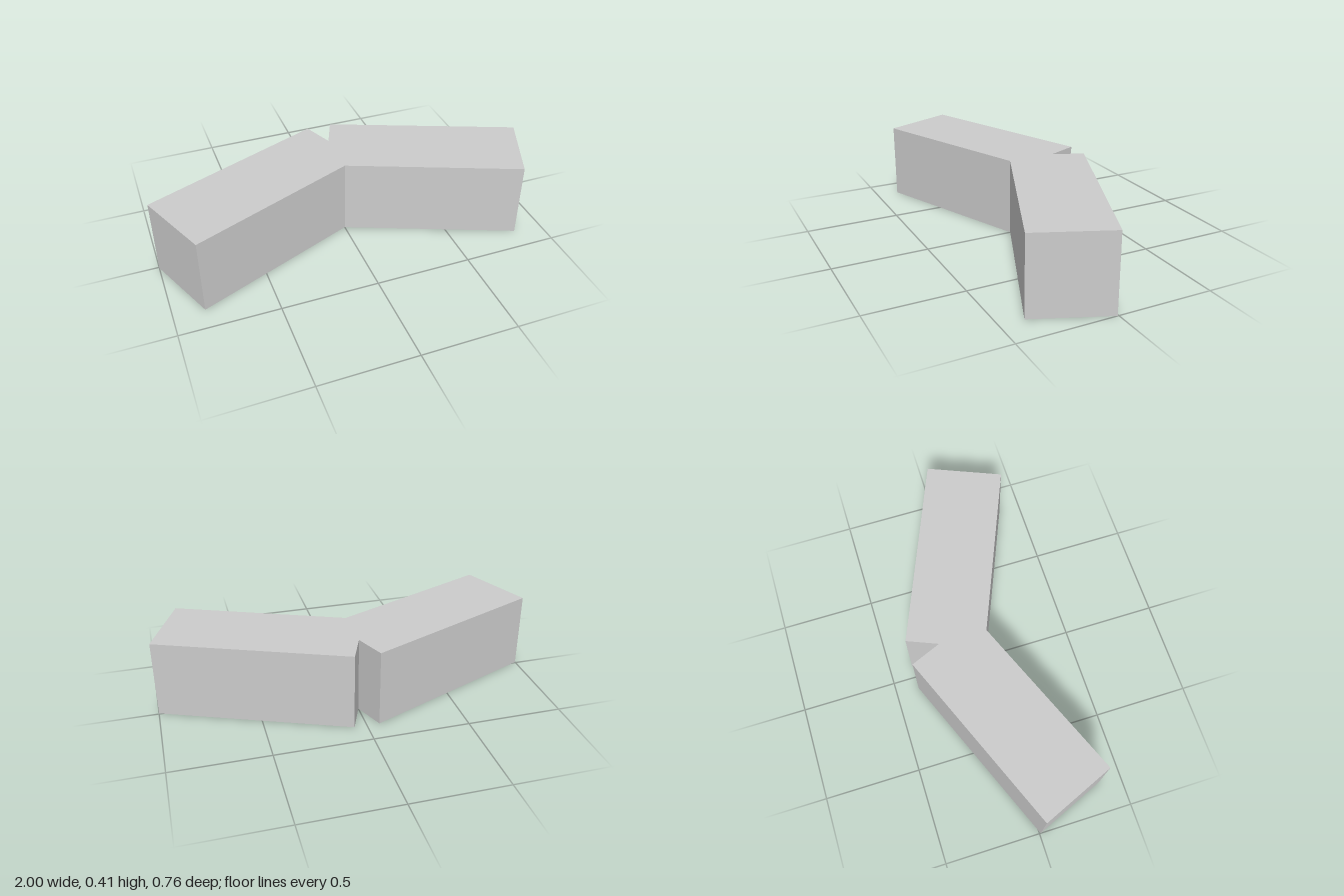
import * as THREE from 'three';

// Right half of the plan outline as [x, z], from the front bend to the rear notch
const HALF = [[0, 0.028], [0.845, 0.379], [1, 0.006], [0.065, -0.379], [0, -0.222]];
const HEIGHT = 0.405;

export function createModel() {
  const group = new THREE.Group();
  group.name = 'angledBlock';
  const grey = new THREE.MeshStandardMaterial({ color: 0xcccccc });
  grey.name = 'light grey';

  // Mirror the half outline; shape y is -z so the extrusion can be laid flat
  const mirrored = HALF.slice(1, -1).reverse().map(([x, z]) => [-x, z]);
  const outline = [...HALF, ...mirrored].map(([x, z]) => new THREE.Vector2(x, -z));

  // Two square beams meeting at a bend, with a V notch at the back
  const geometry = new THREE.ExtrudeGeometry(new THREE.Shape(outline), {
    depth: HEIGHT, bevelEnabled: false,
  });
  geometry.rotateX(-Math.PI / 2);
  const beam = new THREE.Mesh(geometry, grey);
  beam.name = 'bentBeam';
  group.add(beam);
  return group;
}
